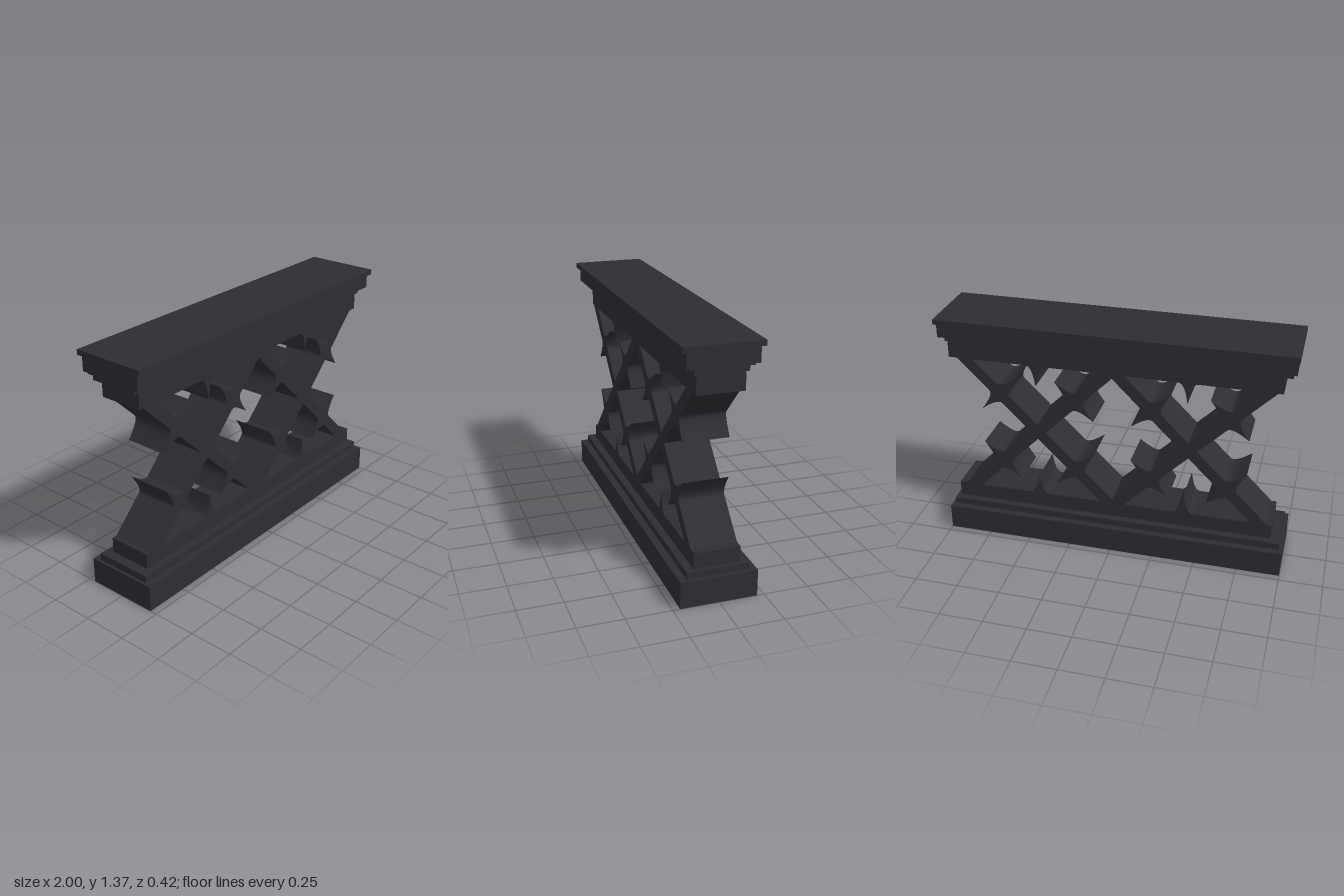
import * as THREE from 'three';
import { toCreasedNormals } from 'three/addons/utils/BufferGeometryUtils.js';

const DEPTH = 0.254;                     // thickness of rails and lattice
const RAIL_LOW = 0.28, RAIL_HIGH = 1.115; // open span between the rails
const MID = (RAIL_LOW + RAIL_HIGH) / 2;
const HALF = (RAIL_HIGH - RAIL_LOW) / 2;
const BAR = 0.047;                       // half the horizontal width of a diagonal bar

export function createModel() {
  const model = new THREE.Group();
  model.name = 'balustrade';
  const material = new THREE.MeshStandardMaterial({ color: 0x2d2e34 });

  const add = (name, geometry, parent = model) => {
    const mesh = new THREE.Mesh(geometry, material);
    mesh.name = name;
    parent.add(mesh);
    return mesh;
  };

  // Horizontal slab between two heights
  const slab = (name, x0, x1, y0, y1, halfZ) => {
    const mesh = add(name, new THREE.BoxGeometry(x1 - x0, y1 - y0, halfZ * 2));
    mesh.position.set((x0 + x1) / 2, (y0 + y1) / 2, 0);
  };

  const extrude = (shape) => {
    const g = new THREE.ExtrudeGeometry(shape, { depth: DEPTH, bevelEnabled: false, curveSegments: 10 });
    g.translate(0, 0, -DEPTH / 2);
    return toCreasedNormals(g, 0.5);
  };

  // Plinth, rails and stepped coping
  slab('plinth', -1, 1, 0, 0.15, 0.211);
  slab('plinthStep', -0.982, 0.982, 0.15, 0.19, 0.17);
  slab('lowerRail', -0.927, 0.96, 0.19, RAIL_LOW, DEPTH / 2);
  slab('upperRail', -0.927, 0.96, RAIL_HIGH, 1.211, DEPTH / 2);
  slab('copingNeck', -0.97, 0.97, 1.217, 1.247, 0.141);
  slab('copingFillet', -0.98, 0.98, 1.247, 1.258, 0.165);
  slab('copingBody', -0.99, 0.99, 1.258, 1.342, 0.188);
  slab('copingTop', -1, 1, 1.342, 1.371, 0.211);

  // Thorn with concave flanks, rooted at y = 0 and pointing up
  const thornShape = new THREE.Shape();
  thornShape.moveTo(-0.052, -0.01);
  thornShape.lineTo(0.052, -0.01);
  thornShape.lineTo(0.052, 0);
  thornShape.quadraticCurveTo(0.016, 0.004, 0, 0.124);
  thornShape.quadraticCurveTo(-0.016, 0.004, -0.052, 0);
  const thornGeometry = extrude(thornShape);
  const thorn = (name, x, y, angle, parent) => {
    const mesh = add(name, thornGeometry, parent);
    mesh.position.set(x, y, 0);
    mesh.rotation.z = angle;
  };

  // Diagonal bar cut level at both rails; slope is +1 or -1
  const barGeometry = (slope) => {
    const s = HALF * slope;
    return extrude(new THREE.Shape([
      new THREE.Vector2(-s - BAR, -HALF), new THREE.Vector2(-s + BAR, -HALF),
      new THREE.Vector2(s + BAR, HALF), new THREE.Vector2(s - BAR, HALF),
    ]));
  };

  // Two crossed panels, each arm carrying a pair of thorns
  for (const x of [-0.434, 0.448]) {
    const cross = new THREE.Group();
    cross.name = 'latticeCross';
    cross.position.set(x, MID, 0);
    model.add(cross);
    for (const slope of [1, -1]) {
      add('diagonalBar', barGeometry(slope), cross);
      for (const end of [-1, 1]) {
        const px = end * 0.221, py = px * slope;
        for (const side of [-1, 1]) {
          // Root each thorn on the edge of its bar
          const dx = side * BAR / 2, dy = -slope * dx;
          thorn('barThorn', px + dx, py + dy, Math.atan2(dy, dx) - Math.PI / 2, cross);
        }
      }
    }
  }

  // Upright thorns on the rails
  for (const x of [-0.417, 0.45]) {
    thorn('lowerRailThorn', x, RAIL_LOW, 0, model);
    thorn('upperRailThorn', x, RAIL_HIGH, Math.PI, model);
  }

  return model;
}
